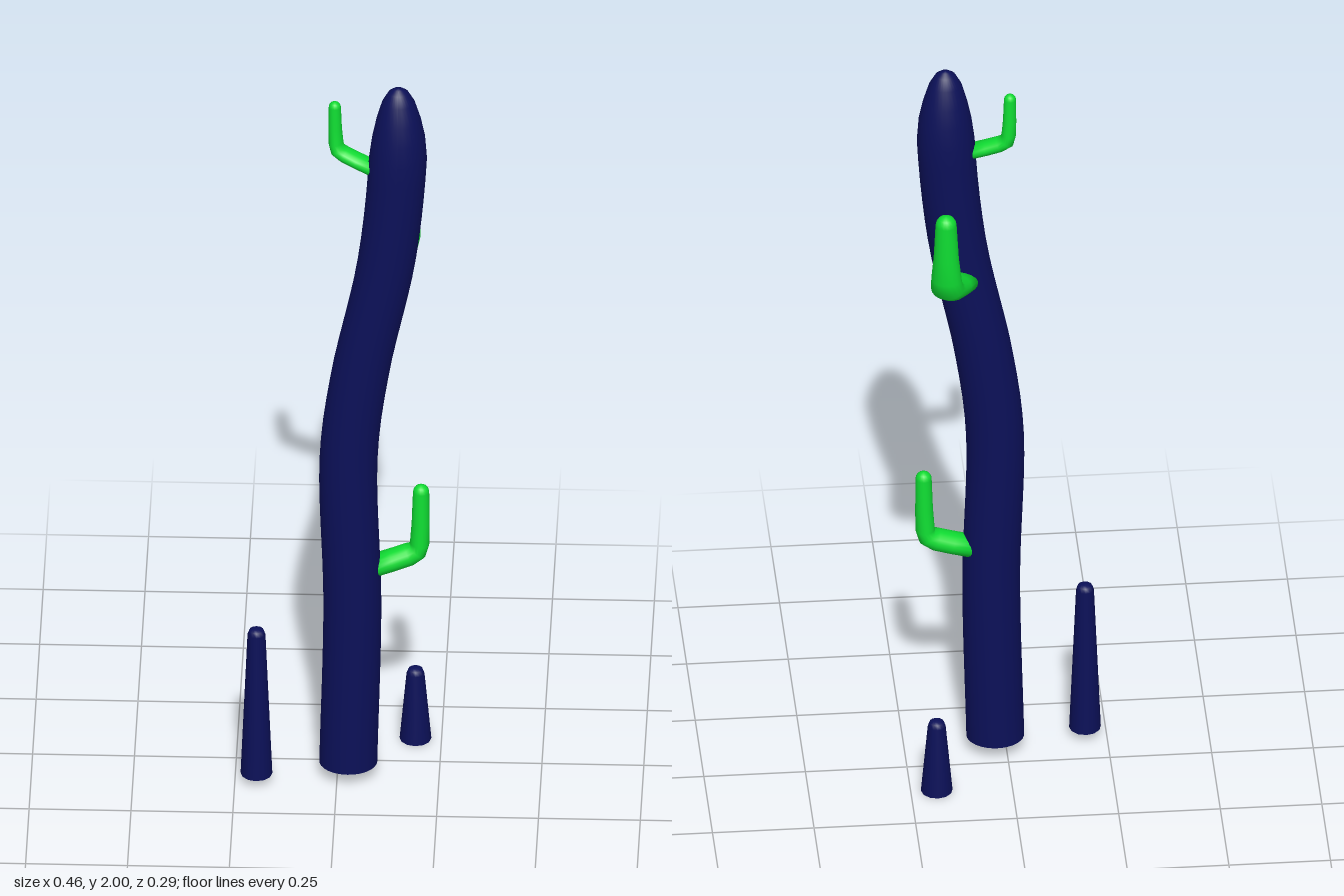
import * as THREE from 'three';

const navy = new THREE.MeshStandardMaterial({ color: 0x0b1058 });
const green = new THREE.MeshStandardMaterial({ color: 0x0fdc32 });

function add(group, name, geometry, material) {
  const mesh = new THREE.Mesh(geometry, material);
  mesh.name = name;
  group.add(mesh);
}

// Closed lathe from [radius, y] pairs, with a separate flat base for a crisp edge
function lathe(pairs, sides) {
  return new THREE.LatheGeometry(pairs.map(([r, y]) => new THREE.Vector2(r, y)), sides);
}

function baseDisc(r, y, sides) {
  return new THREE.CircleGeometry(r, sides).rotateX(Math.PI / 2).translate(0, y, 0);
}

// Upright trunk whose horizontal rings slide along x to follow a bent centre line
function addTrunk(group) {
  const bend = [[0.04, 0.027], [0.5, 0.037], [0.93, 0.028], [1.17, 0.056],
    [1.5, 0.121], [1.8, 0.149], [2.0, 0.15]];
  const centre = new THREE.CatmullRomCurve3(bend.map(([y, x]) => new THREE.Vector3(x, y, 0)));
  const profile = [];
  for (let i = 0; i <= 30; i++) profile.push([0.0635, 0.04 + i * 1.76 / 30]);
  profile.push([0.058, 1.86], [0.049, 1.91], [0.036, 1.96], [0.022, 1.988], [0.01, 1.998], [0, 2]);
  const samples = centre.getPoints(240);
  const shift = (y) => {
    const i = Math.max(1, samples.findIndex((p) => p.y >= y - 1e-6));
    const a = samples[i - 1], b = samples[i];
    return a.x + (b.x - a.x) * (y - a.y) / (b.y - a.y);
  };
  const body = lathe(profile, 32);
  const pos = body.attributes.position;
  for (let i = 0; i < pos.count; i++) {
    pos.setXYZ(i, pos.getX(i) * 1.12 + shift(pos.getY(i)), pos.getY(i), pos.getZ(i) + 0.067);
  }
  body.computeVertexNormals();
  add(group, 'trunk', body, navy);
  add(group, 'trunkBase', baseDisc(0.0635, 0.04, 32).scale(1.12, 1, 1).translate(0.027, 0, 0.067), navy);
}

// Bent arm lofted through oval rings: rows are [reach, y, thickness, width] (both radii)
function armGeometry(from, to, rows) {
  const sides = 18, verts = [], index = [];
  const out = new THREE.Vector3(to[0] - from[0], 0, to[1] - from[1]);
  const side = new THREE.Vector3(-out.z, 0, out.x).normalize();
  const point = (r) => new THREE.Vector3(from[0], r[1], from[1]).addScaledVector(out, r[0]);
  rows.forEach((row, i) => {
    const p = point(row);
    const tangent = point(rows[Math.min(i + 1, rows.length - 1)])
      .sub(point(rows[Math.max(i - 1, 0)])).normalize();
    const across = new THREE.Vector3().crossVectors(side, tangent);
    for (let j = 0; j < sides; j++) {
      const a = j / sides * Math.PI * 2;
      const v = p.clone().addScaledVector(across, Math.cos(a) * row[2])
        .addScaledVector(side, Math.sin(a) * row[3]);
      verts.push(v.x, v.y, v.z);
      if (i < rows.length - 1) {
        const k = i * sides + j, n = i * sides + (j + 1) % sides;
        index.push(k, k + sides, n, n, k + sides, n + sides);
      }
    }
  });
  // Close the root
  const c = verts.length / 3, p = point(rows[0]);
  verts.push(p.x, p.y, p.z);
  for (let j = 0; j < sides; j++) index.push(c, j, (j + 1) % sides);
  // Turn the faces outward if the signed volume is negative
  let volume = 0;
  const at = (i) => new THREE.Vector3().fromArray(verts, i * 3).sub(p);
  for (let i = 0; i < index.length; i += 3) {
    volume += at(index[i]).dot(at(index[i + 1]).cross(at(index[i + 2])));
  }
  if (volume < 0) index.reverse();
  const g = new THREE.BufferGeometry();
  g.setAttribute('position', new THREE.Float32BufferAttribute(verts, 3));
  g.setIndex(index);
  g.computeVertexNormals();
  return g;
}

// Rows for an arm: sloping root, rounded elbow, tapering upright and domed tip
function armRows(rootY, elbowY, topY, r, rootThick, rootWidth) {
  const slope = elbowY - rootY;
  const rows = [
    [0, rootY, rootThick, rootWidth],
    [0.4, rootY + slope * 0.3, rootThick * 1.02, rootWidth * 0.97],
    [0.74, rootY + slope * 0.58, rootThick * 1.04, rootWidth * 0.93],
    [0.92, rootY + slope * 0.82, r * 1.25, rootWidth * 0.88],
    [0.97, elbowY + slope * 0.25, r * 1.2, rootWidth * 0.82],
    [0.99, elbowY + (topY - elbowY) * 0.4, r * 1.1, r * 1.2],
    [1, topY - r, r, r],
  ];
  for (let i = 1; i <= 4; i++) {
    const a = i / 4 * Math.PI / 2;
    rows.push([1, topY - r + Math.sin(a) * r, Math.cos(a) * r, Math.cos(a) * r]);
  }
  return rows;
}

// Small tapering stump with a rounded tip
function addStump(group, name, x, z, y0, y1) {
  const body = lathe([[0.039, y0], [0.022, y1 - 0.016], [0.018, y1 - 0.005], [0.01, y1], [0, y1]], 12);
  add(group, name, body.translate(x, 0, z), navy);
  add(group, name + 'Base', baseDisc(0.039, y0, 12).rotateY(Math.PI / 2).translate(x, 0, z), navy);
}

export function createModel() {
  const group = new THREE.Group();
  group.name = 'cactus';
  addTrunk(group);
  add(group, 'lowerArm', armGeometry([0.09, 0.058], [0.205, 0.048],
    armRows(0.605, 0.655, 0.835, 0.02, 0.027, 0.034)), green);
  add(group, 'upperArm', armGeometry([0.085, 0.062], [-0.007, 0.04],
    armRows(1.765, 1.812, 1.94, 0.015, 0.018, 0.027)), green);
  add(group, 'backArm', armGeometry([0.118, 0.02], [0.163, -0.11],
    armRows(1.41, 1.485, 1.69, 0.026, 0.029, 0.046)), green);
  addStump(group, 'tallStump', -0.197, 0.105, 0.025, 0.445);
  addStump(group, 'shortStump', 0.186, -0.107, 0, 0.205);
  return group;
}
